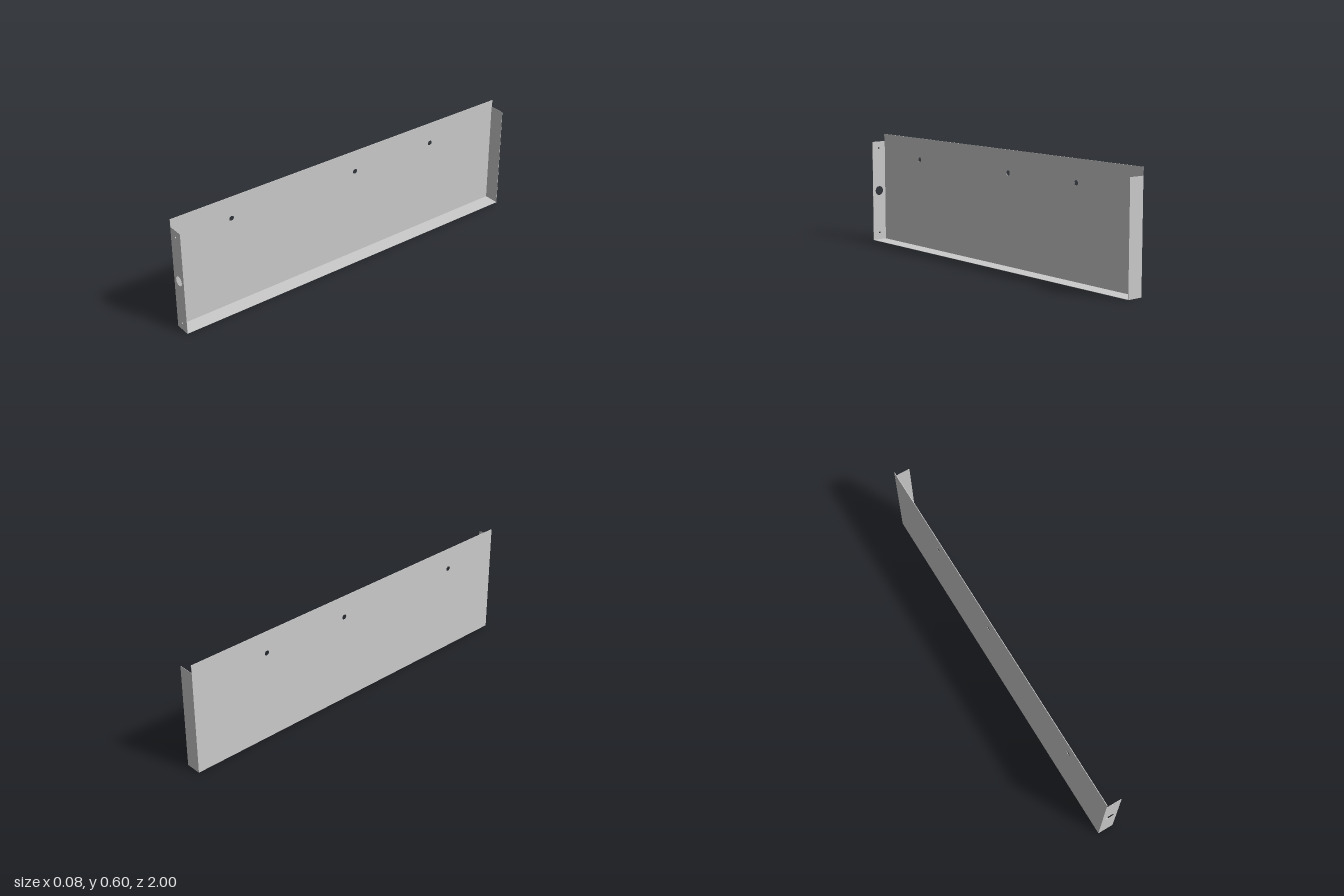
import * as THREE from 'three';

const T = 0.0015;      // sheet thickness
const HALF_W = 0.042;  // half width across the flanges
const HEIGHT = 0.595;  // full panel height
const END_H = 0.555;   // end flange height

// Flat sheet from (u0, v0) to (u1, v1) with round holes [u, v, radius]
function sheet(u0, v0, u1, v1, holes = []) {
  const shape = new THREE.Shape([
    new THREE.Vector2(u0, v0), new THREE.Vector2(u1, v0),
    new THREE.Vector2(u1, v1), new THREE.Vector2(u0, v1),
  ]);
  for (const [u, v, r] of holes) {
    shape.holes.push(new THREE.Path().absarc(u, v, r, 0, Math.PI * 2, true));
  }
  return new THREE.ExtrudeGeometry(shape, { depth: T, bevelEnabled: false, curveSegments: 24 });
}

export function createModel() {
  const group = new THREE.Group();
  const material = new THREE.MeshStandardMaterial({ color: 0xcccccc, side: THREE.DoubleSide });
  const add = (name, geometry) => {
    const mesh = new THREE.Mesh(geometry, material);
    mesh.name = name;
    group.add(mesh);
  };

  // Long upright panel with three fixing holes
  const fixings = [0.67, -0.07, -0.565].map((z) => [z, 0.478, 0.013]);
  add('sidePanel', sheet(-1, 0, 1, HEIGHT, fixings)
    .rotateY(-Math.PI / 2).translate(-HALF_W + T, 0, 0));

  // Folded hem along the inside of the top edge
  add('topHem', new THREE.BoxGeometry(T, 0.017, 2)
    .translate(-HALF_W + T * 1.5, HEIGHT - 0.0085, 0));

  // Bottom flange
  add('bottomFlange', new THREE.BoxGeometry(HALF_W * 2, T, 2).translate(0, T / 2, 0));

  // Front flange with a cable hole between two screw holes
  const frontHoles = [[0, 0.04, 0.005], [0, 0.278, 0.025], [0, 0.518, 0.005]];
  add('frontFlange', sheet(-HALF_W, 0, HALF_W, END_H, frontHoles).translate(0, 0, 1 - T));

  // Plain back flange
  add('backFlange', sheet(-HALF_W, 0, HALF_W, END_H).translate(0, 0, -1));

  return group;
}
